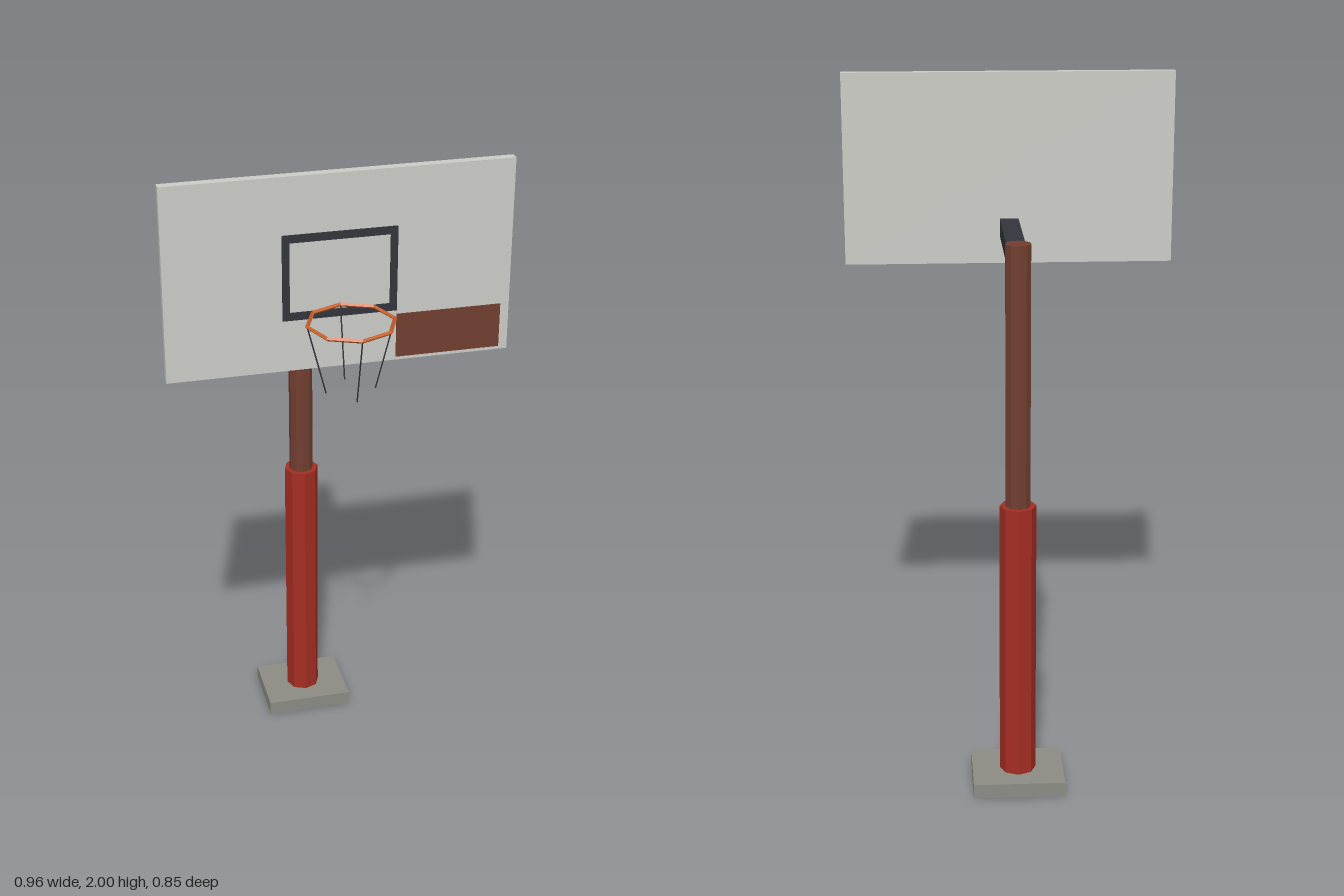
import * as THREE from 'three';

const material = (name, color) => {
  const m = new THREE.MeshStandardMaterial({ color });
  m.name = name;
  return m;
};

export function createModel() {
  const group = new THREE.Group();
  group.name = 'basketballHoop';

  const concrete = material('concrete grey', 0x8b8b84);
  const boardGrey = material('board grey', 0xcacbc5);
  const red = material('padding red', 0xa32d22);
  const brown = material('rust brown', 0x723e30);
  const dark = material('dark steel', 0x33343c);
  const orange = material('rim orange', 0xc8622c);

  const add = (name, geometry, mat, x, y, z) => {
    const mesh = new THREE.Mesh(geometry, mat);
    mesh.name = name;
    mesh.position.set(x, y, z);
    group.add(mesh);
    return mesh;
  };
  const box = (name, mat, w, h, d, x, y, z) =>
    add(name, new THREE.BoxGeometry(w, h, d), mat, x, y, z);
  // Faceted cylinder standing between two heights
  const post = (name, mat, radius, sides, y0, y1, z) =>
    add(name, new THREE.CylinderGeometry(radius, radius, y1 - y0, sides).toNonIndexed(), mat, 0, (y0 + y1) / 2, z)
      .geometry.computeVertexNormals();
  // Thin bar between two points
  const bar = (name, geometry, mat, a, b) => {
    const mid = a.clone().add(b).multiplyScalar(0.5);
    const mesh = add(name, geometry, mat, mid.x, mid.y, mid.z);
    mesh.quaternion.setFromUnitVectors(new THREE.Vector3(0, 1, 0), b.clone().sub(a).normalize());
  };

  // Base and post
  const poleZ = -0.319;
  box('base', concrete, 0.264, 0.043, 0.212, 0, 0.0225, poleZ);
  post('pole', brown, 0.036, 10, 0, 1.605, poleZ);
  post('polePadding', red, 0.052, 8, 0.02, 0.86, poleZ);

  // Support arm and diagonal brace
  box('supportArm', dark, 0.054, 0.052, 0.433, 0, 1.554, -0.0835);
  const from = new THREE.Vector3(0, 1.3, -0.295);
  const to = new THREE.Vector3(0, 1.54, 0.085);
  bar('brace', new THREE.BoxGeometry(0.02, from.distanceTo(to), 0.015), dark, from, to);

  // Backboard with painted panel
  const face = 0.172;
  box('backboard', boardGrey, 0.956, 0.555, 0.025, 0, 1.7225, 0.1595);
  box('cornerPanel', brown, 0.295, 0.128, 0.003, 0.3055, 1.519, face + 0.0012);

  // Target frame
  const rect = (path, w, h) => {
    path.moveTo(-w, -h);
    path.lineTo(w, -h);
    path.lineTo(w, h);
    path.lineTo(-w, h);
    path.closePath();
    return path;
  };
  const frame = rect(new THREE.Shape(), 0.158, 0.122);
  frame.holes.push(rect(new THREE.Path(), 0.138, 0.1));
  add('targetFrame', new THREE.ExtrudeGeometry(frame, { depth: 0.004, bevelEnabled: false }),
    dark, 0, 1.717, face);

  // Eight-sided rim
  const rimZ = 0.297, rimY = 1.63;
  const rim = new THREE.TorusGeometry(0.119, 0.006, 4, 8).toNonIndexed();
  rim.rotateX(-Math.PI / 2);
  rim.computeVertexNormals();
  add('rim', rim, orange, 0, rimY, rimZ);

  // Four net cords leaning inward
  for (let i = 0; i < 4; i++) {
    const a = (i * Math.PI) / 2;
    const point = (r, y) => new THREE.Vector3(Math.cos(a) * r, y, rimZ + Math.sin(a) * r);
    const top = point(0.119, rimY), bottom = point(0.068, 1.43);
    bar('netCord', new THREE.CylinderGeometry(0.002, 0.002, top.distanceTo(bottom), 4), dark, bottom, top);
  }

  return group;
}
